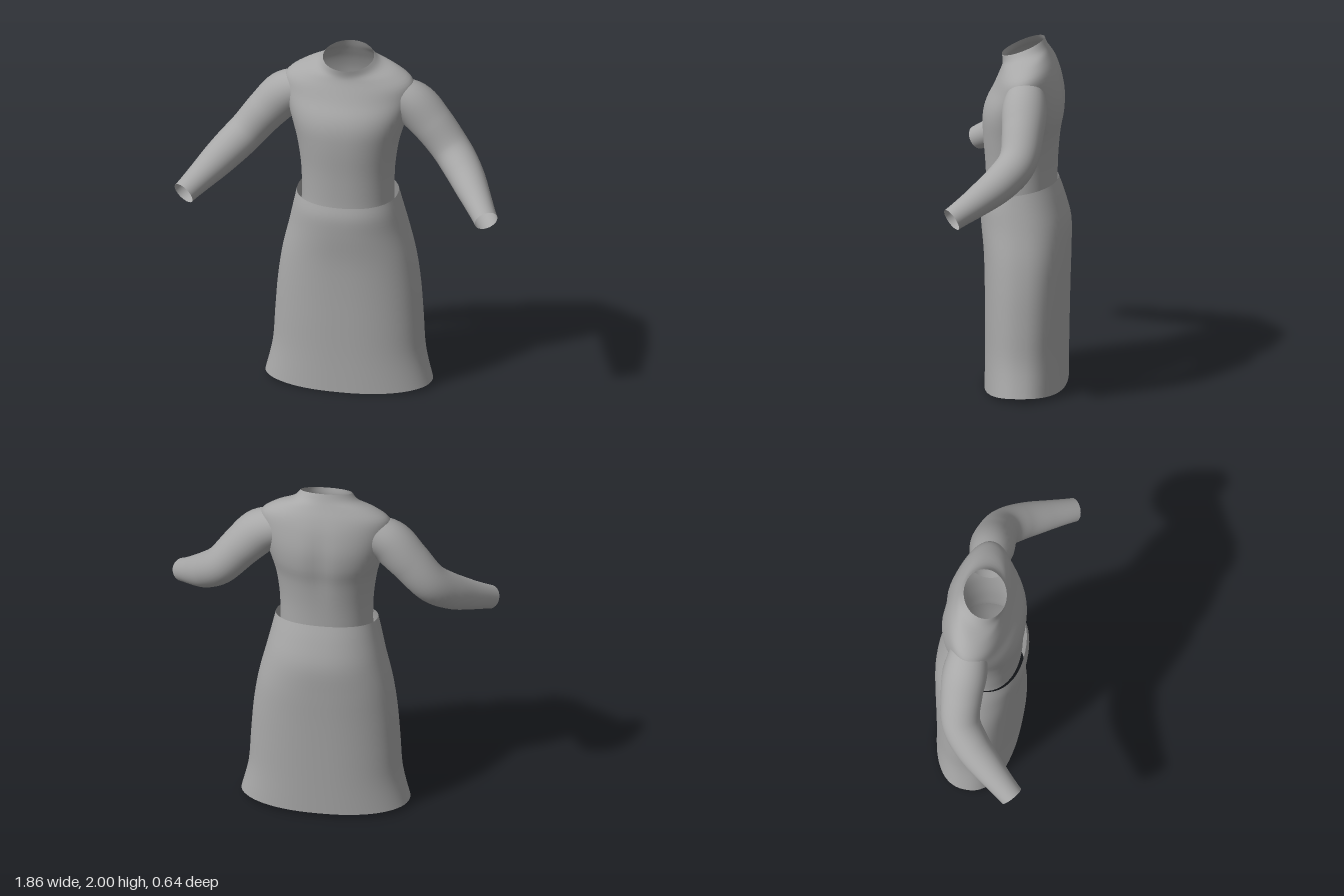
import * as THREE from 'three';

const cloth = new THREE.MeshStandardMaterial({ color: 0xa8a8a8, side: THREE.DoubleSide });
cloth.name = 'grey cloth';

// Catmull-Rom interpolation of rows of numbers, t in 0..1
function sampleRows(rows, t) {
  const s = t * (rows.length - 1);
  const k = Math.min(Math.floor(s), rows.length - 2);
  const row = (i) => rows[THREE.MathUtils.clamp(i, 0, rows.length - 1)];
  const f = s - k;
  return rows[0].map((_, c) => {
    const a = row(k - 1)[c], b = row(k)[c], d = row(k + 1)[c], e = row(k + 2)[c];
    return b + 0.5 * f * (d - a + f * (2 * a - 5 * b + 4 * d - e + f * (3 * (b - d) + e - a)));
  });
}

// Open shell through rounded rings, listed top to bottom.
// Row: [front y, back y, half width, front z, back z, roundness exponent, side lift]
function shell(name, rows, perRow, shape) {
  const seg = 64, rings = (rows.length - 1) * perRow;
  const pos = [], index = [];
  const bend = (v, n) => Math.sign(v) * Math.pow(Math.abs(v), 2 / n);
  for (let i = 0; i <= rings; i++) {
    const [yF, yB, rx, zF, zB, n, lift] = sampleRows(rows, i / rings);
    for (let j = 0; j < seg; j++) {
      const a = (j / seg) * Math.PI * 2;
      const c = bend(Math.cos(a), n);
      const p = new THREE.Vector3(
        rx * bend(Math.sin(a), n),
        (yF + yB) / 2 + c * (yF - yB) / 2 + lift * (1 - c * c),
        (zF + zB) / 2 + c * (zF - zB) / 2
      );
      if (shape) shape(p, c);
      pos.push(p.x, p.y, p.z);
      if (i < rings) {
        const k = i * seg + j, m = i * seg + (j + 1) % seg;
        index.push(k, k + seg, m + seg, k, m + seg, m);
      }
    }
  }
  const geo = new THREE.BufferGeometry();
  geo.setAttribute('position', new THREE.Float32BufferAttribute(pos, 3));
  geo.setIndex(index);
  geo.computeVertexNormals();
  const mesh = new THREE.Mesh(geo, cloth);
  mesh.name = name;
  return mesh;
}

// Bent, tapering sleeve; side is +1 for left, -1 for right
function sleeve(side) {
  const path = new THREE.CatmullRomCurve3([
    [0.25, 1.735, -0.09], [0.36, 1.69, -0.09], [0.47, 1.58, -0.09], [0.59, 1.435, -0.07],
    [0.68, 1.345, 0.01], [0.77, 1.26, 0.13], [0.87, 1.17, 0.277]
  ].map(([x, y, z]) => new THREE.Vector3(side * x, y, z)));
  const radii = [[0.105], [0.126], [0.118], [0.11], [0.106], [0.096], [0.08], [0.067]];
  const along = 42, around = 32;
  const geo = new THREE.TubeGeometry(path, along, 1, around);
  const pos = geo.attributes.position, p = new THREE.Vector3();
  for (let i = 0; i <= along; i++) {
    const centre = path.getPointAt(i / along);
    const r = sampleRows(radii, i / along)[0];
    for (let j = 0; j <= around; j++) {
      const k = i * (around + 1) + j;
      p.fromBufferAttribute(pos, k).sub(centre).multiplyScalar(r).add(centre);
      pos.setXYZ(k, p.x, p.y, p.z);
    }
  }
  const mesh = new THREE.Mesh(geo, cloth);
  mesh.name = side > 0 ? 'leftSleeve' : 'rightSleeve';
  return mesh;
}

export function createModel() {
  const model = new THREE.Group();
  model.name = 'dress';

  // Bodice from the raised collar, over the shoulders, to the waist
  model.add(shell('bodice', [
    [1.905, 2.0, 0.145, 0.068, -0.172, 2, 0],
    [1.87, 1.96, 0.185, 0.062, -0.188, 2, 0],
    [1.84, 1.92, 0.28, 0.066, -0.208, 2, 0],
    [1.79, 1.86, 0.36, 0.085, -0.238, 2, 0],
    [1.72, 1.78, 0.368, 0.115, -0.266, 2, 0],
    [1.64, 1.67, 0.345, 0.155, -0.286, 2.1, 0],
    [1.56, 1.56, 0.315, 0.173, -0.283, 2.2, 0],
    [1.45, 1.45, 0.285, 0.172, -0.262, 2.2, 0],
    [1.3, 1.3, 0.264, 0.16, -0.247, 2.2, 0],
    [1.15, 1.15, 0.26, 0.153, -0.242, 2.2, 0],
    [1.08, 1.1, 0.262, 0.153, -0.24, 2.2, 0]
  ], 4, (p, c) => {
    // Shallow groove down the spine
    const depth = 0.014 * Math.exp(-((p.y - 1.6) ** 2) / 0.04);
    if (c < 0) p.z += depth * Math.exp(-((p.x / 0.06) ** 2));
  }));

  for (const side of [1, -1]) model.add(sleeve(side));

  // Flared skirt with a sloping waist and a slightly lifted hem at the sides
  model.add(shell('skirt', [
    [1.12, 1.19, 0.288, 0.175, -0.25, 2.2, 0],
    [1.05, 1.09, 0.308, 0.188, -0.285, 2.2, 0],
    [0.94, 0.95, 0.338, 0.182, -0.32, 2.2, 0],
    [0.78, 0.78, 0.378, 0.166, -0.32, 2.3, 0],
    [0.6, 0.6, 0.405, 0.16, -0.314, 2.3, 0],
    [0.4, 0.4, 0.421, 0.158, -0.309, 2.3, 0],
    [0.2, 0.2, 0.435, 0.157, -0.305, 2.3, 0.006],
    [0.002, 0.012, 0.477, 0.16, -0.302, 2.3, 0.022]
  ], 4));

  return model;
}
